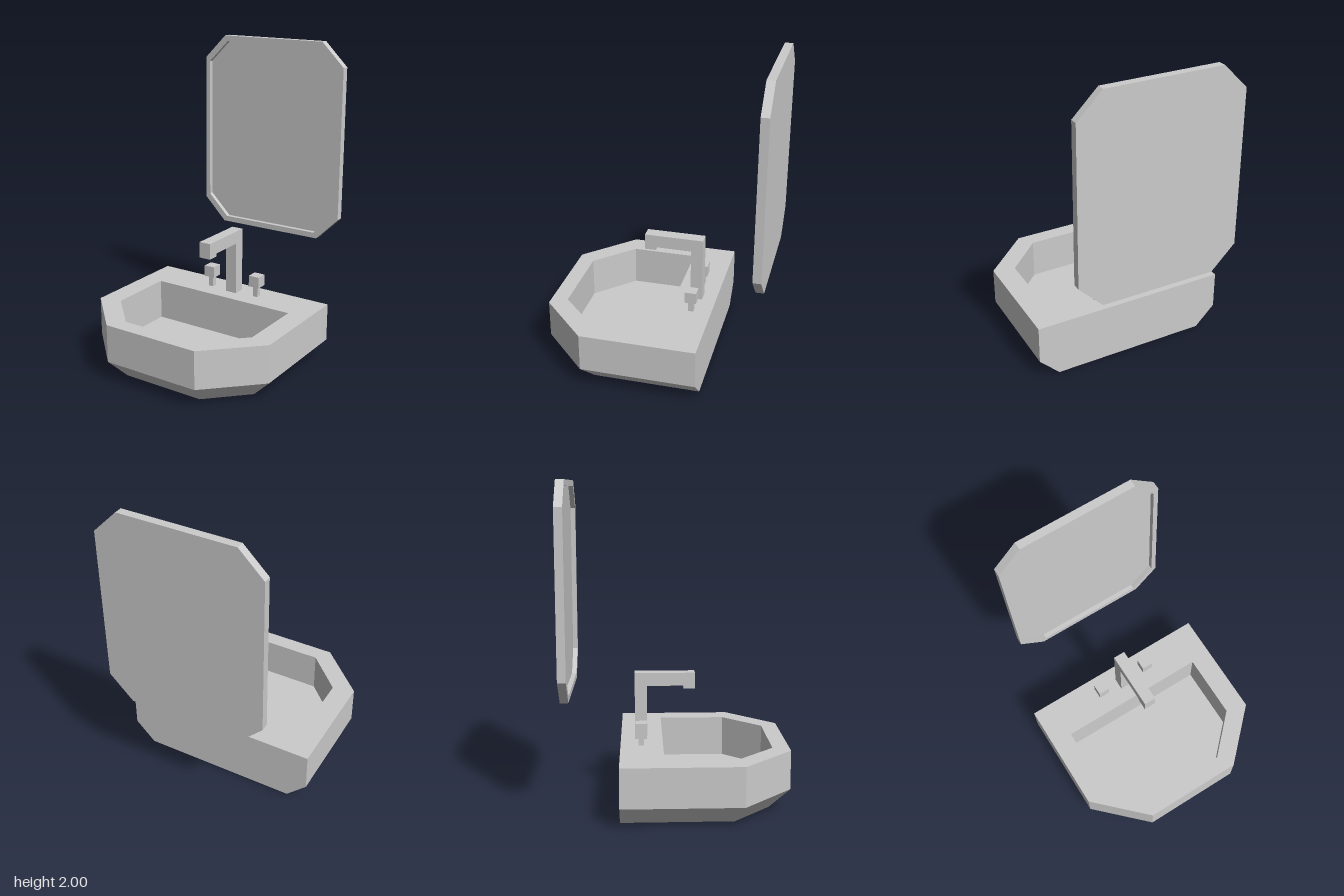
import * as THREE from 'three';

const material = new THREE.MeshStandardMaterial({ color: 0xcccccc, flatShading: true, side: THREE.DoubleSide });

// Closed solid through successive outlines: each ring is { points: [[u, v], ...] anticlockwise, w }
function loft(rings) {
  const pos = [];
  const at = (r, i) => {
    const p = r.points[i % r.points.length];
    return [p[0], p[1], r.w];
  };
  const tri = (a, b, c) => pos.push(...a, ...b, ...c);
  const n = rings[0].points.length;
  for (let k = 0; k + 1 < rings.length; k++) {
    const a = rings[k], b = rings[k + 1];
    for (let i = 0; i < n; i++) {
      tri(at(a, i), at(a, i + 1), at(b, i + 1));
      tri(at(a, i), at(b, i + 1), at(b, i));
    }
  }
  const first = rings[0], last = rings[rings.length - 1];
  for (let i = 1; i < n - 1; i++) {
    tri(at(first, 0), at(first, i + 1), at(first, i));
    tri(at(last, 0), at(last, i), at(last, i + 1));
  }
  const geo = new THREE.BufferGeometry();
  geo.setAttribute('position', new THREE.Float32BufferAttribute(pos, 3));
  geo.computeVertexNormals();
  return geo;
}

// Basin plan: straight back, chamfered front corners (v = -z)
const basinRing = (w, halfW, back, side, halfFront, front) => ({
  w,
  points: [[halfW, -back], [-halfW, -back], [-halfW, -side], [-halfFront, -front], [halfFront, -front], [halfW, -side]],
});

// Chamfered rectangle, inset evenly from the frame edge
function mirrorRing(w, halfW, halfH, cut) {
  const x = halfW - cut, y = halfH - cut;
  return {
    w,
    points: [[halfW, -y], [halfW, y], [x, halfH], [-x, halfH], [-halfW, y], [-halfW, -y], [-x, -halfH], [x, -halfH]],
  };
}

function box(name, w, h, d, x, y, z) {
  const mesh = new THREE.Mesh(new THREE.BoxGeometry(w, h, d), material);
  mesh.name = name;
  mesh.position.set(x, y, z);
  return mesh;
}

export function createModel() {
  const model = new THREE.Group();
  model.name = 'washbasinWithMirror';

  // Basin: tapered underside, upright sides, rim, and sunken bowl
  const basin = new THREE.Mesh(loft([
    basinRing(0, 0.51, -0.345, 0.335, 0.275, 0.57),
    basinRing(0.13, 0.64, -0.345, 0.385, 0.325, 0.695),
    basinRing(0.375, 0.64, -0.345, 0.385, 0.325, 0.695),
    basinRing(0.375, 0.5, -0.08, 0.35, 0.26, 0.59),
    basinRing(0.11, 0.5, -0.08, 0.35, 0.26, 0.59),
  ]).rotateX(-Math.PI / 2), material);
  basin.name = 'basin';
  model.add(basin);

  // Mirror: frame with a shallow recessed glass
  const mirror = new THREE.Mesh(loft([
    mirrorRing(-0.698, 0.523, 0.655, 0.155),
    mirrorRing(-0.647, 0.523, 0.655, 0.155),
    mirrorRing(-0.647, 0.492, 0.618, 0.145),
    mirrorRing(-0.677, 0.492, 0.618, 0.145),
  ]), material);
  mirror.name = 'mirror';
  mirror.position.set(0.017, 1.345, 0);
  model.add(mirror);

  // Tap: side profile (z, y) extruded across its width
  const profile = new THREE.Shape([
    [-0.255, 0.37], [-0.178, 0.37], [-0.178, 0.72], [0.052, 0.72],
    [0.052, 0.7], [0.125, 0.7], [0.125, 0.803], [-0.255, 0.803],
  ].map(([z, y]) => new THREE.Vector2(-z, y)));
  const tapGeo = new THREE.ExtrudeGeometry(profile, { depth: 0.078, bevelEnabled: false });
  const tap = new THREE.Mesh(tapGeo.rotateY(Math.PI / 2), material);
  tap.name = 'tap';
  tap.position.x = -0.031;
  model.add(tap);

  // Pair of handles, each a cube knob on a thin stem
  for (const [name, x] of [['rightHandle', -0.165], ['leftHandle', 0.184]]) {
    const handle = new THREE.Group();
    handle.name = name;
    handle.add(
      box('stem', 0.034, 0.085, 0.034, x, 0.41, -0.215),
      box('knob', 0.074, 0.074, 0.074, x, 0.483, -0.215),
    );
    model.add(handle);
  }
  return model;
}
